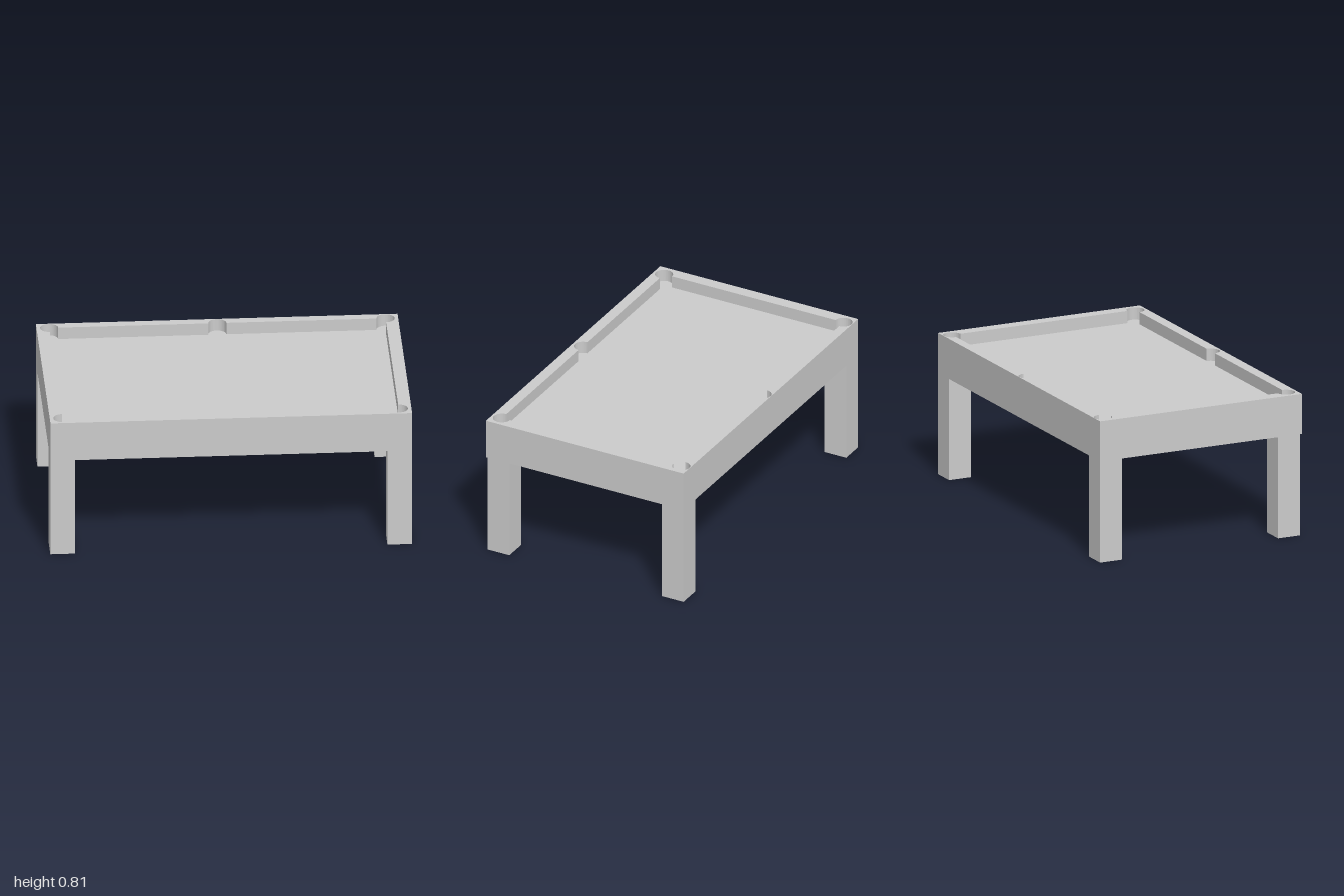
import * as THREE from 'three';
import { toCreasedNormals } from 'three/addons/utils/BufferGeometryUtils.js';

const W = 2, D = 1.245;                       // table footprint
const BOTTOM = 0.58, BED = 0.74, TOP = 0.81;  // heights of the body
const PI = Math.PI;

export function createModel() {
  const group = new THREE.Group();
  const material = new THREE.MeshStandardMaterial({ color: 0xcccccc });

  function add(name, geometry, x = 0, y = 0, z = 0) {
    const mesh = new THREE.Mesh(geometry, material);
    mesh.name = name;
    mesh.position.set(x, y, z);
    group.add(mesh);
  }

  // Solid body whose upper face is the playing bed
  add('tableBody', new THREE.BoxGeometry(W, BED - BOTTOM, D), 0, (BED + BOTTOM) / 2, 0);

  // Raised rail around the bed, with six round pocket cut-outs
  const rail = new THREE.Shape([
    new THREE.Vector2(-W / 2, -D / 2), new THREE.Vector2(W / 2, -D / 2),
    new THREE.Vector2(W / 2, D / 2), new THREE.Vector2(-W / 2, D / 2),
  ]);
  const ix = 0.93, front = -0.56, back = 0.57, r = 0.05;
  const opening = new THREE.Path();
  opening.moveTo(-ix + r, front);
  const pockets = [                           // centre x, centre y, start and end angle
    [0, front, PI, 2 * PI],
    [ix, front, PI, 2.5 * PI],
    [ix, back, 1.5 * PI, 3 * PI],
    [0, back, 0, PI],
    [-ix, back, 0, 1.5 * PI],
    [-ix, front, 0.5 * PI, 2 * PI],
  ];
  for (const [x, y, start, end] of pockets) opening.absarc(x, y, r, start, end, false);
  rail.holes.push(opening);
  const railGeometry = new THREE.ExtrudeGeometry(rail, {
    depth: TOP - BED, bevelEnabled: false, curveSegments: 20,
  });
  railGeometry.rotateX(-PI / 2);
  add('rail', toCreasedNormals(railGeometry, PI / 5), 0, BED, 0);

  // Four square legs, the front pair set in slightly
  const leg = 0.136;
  for (const side of [-1, 1]) {
    const x = side * (W - leg) / 2;
    add('frontLeg', new THREE.BoxGeometry(leg, BOTTOM, leg), x, BOTTOM / 2, 0.611 - leg / 2);
    add('backLeg', new THREE.BoxGeometry(leg, BOTTOM, leg), x, BOTTOM / 2, -D / 2 + leg / 2);
  }
  return group;
}
